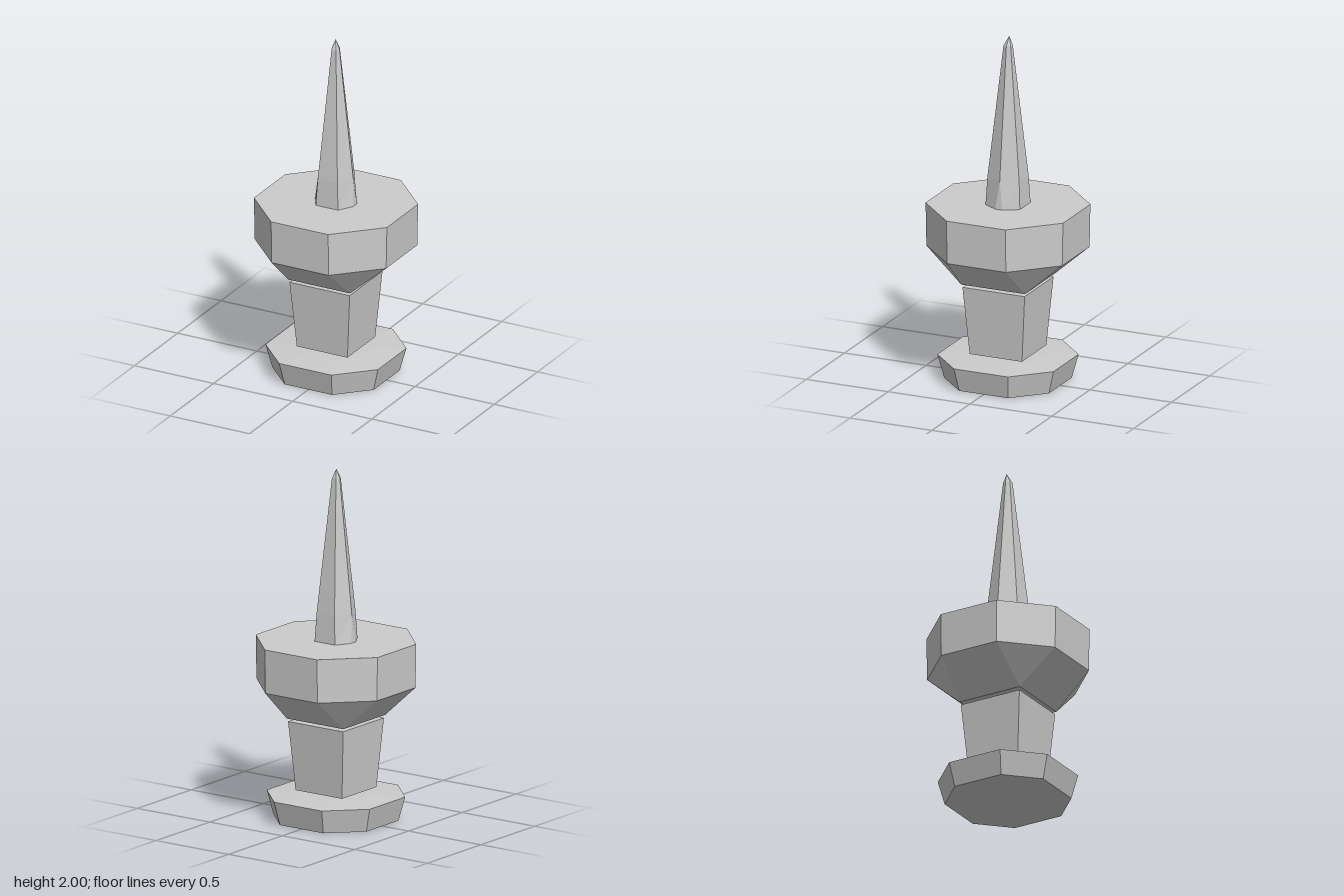
import * as THREE from 'three';

// Eight-point ring: half-widths ax, az, with corners cut at cx and cz
function ring(y, ax, cx, az = ax, cz = cx, ox = 0, oz = 0) {
  return [
    [ax, cz], [cx, az], [-cx, az], [-ax, cz],
    [-ax, -cz], [-cx, -az], [cx, -az], [ax, -cz],
  ].map(([x, z]) => new THREE.Vector3(x + ox, y, z + oz));
}

// Faceted solid through a stack of rings, closed at both ends
function loft(name, rings) {
  const pos = [];
  const tri = (a, b, c) => {
    const area = b.clone().sub(a).cross(c.clone().sub(a)).length();
    if (area > 1e-8) for (const p of [a, b, c]) pos.push(p.x, p.y, p.z);
  };
  const n = rings[0].length;
  const centre = (r) => r.reduce((s, p) => s.add(p), new THREE.Vector3()).divideScalar(n);
  const last = rings[rings.length - 1];
  const bottom = centre(rings[0]);
  const top = centre(last);
  for (let i = 0; i < n; i++) {
    const j = (i + 1) % n;
    for (let k = 0; k < rings.length - 1; k++) {
      const lo = rings[k], hi = rings[k + 1];
      tri(lo[i], hi[i], lo[j]);
      tri(lo[j], hi[i], hi[j]);
    }
    tri(bottom, rings[0][i], rings[0][j]);
    tri(top, last[j], last[i]);
  }
  const geo = new THREE.BufferGeometry();
  geo.setAttribute('position', new THREE.Float32BufferAttribute(pos, 3));
  geo.computeVertexNormals();
  const mesh = new THREE.Mesh(geo, new THREE.MeshStandardMaterial({ color: 0xcccccc, flatShading: true }));
  mesh.name = name;
  return mesh;
}

export function createModel() {
  const group = new THREE.Group();
  group.name = 'spikedPost';

  // Flared octagonal foot with a barely raised top
  group.add(loft('base', [
    ring(0, 0.32, 0.15),
    ring(0.137, 0.355, 0.165),
    ring(0.147, 0.2, 0.09),
  ]));

  // Square column, wider at the top, floating between foot and head
  group.add(loft('column', [
    ring(0.165, 0.16, 0.16),
    ring(0.56, 0.19, 0.19),
  ]));

  // Head: square underside growing into an octagonal drum
  group.add(loft('head', [
    ring(0.577, 0.195, 0.195),
    ring(0.77, 0.415, 0.18),
    ring(1.02, 0.42, 0.18),
  ]));

  // Tall spike, hexagonal above a slightly chamfered foot
  group.add(loft('spike', [
    ring(1.02, 0.12, 0.07, 0.105, 0.022),
    ring(1.18, 0.109, 0.062, 0.097, 0),
    ring(1.945, 0.024, 0.014, 0.022, 0, -0.002),
    ring(2, 0, 0, 0, 0, -0.006, -0.005),
  ]));

  return group;
}
